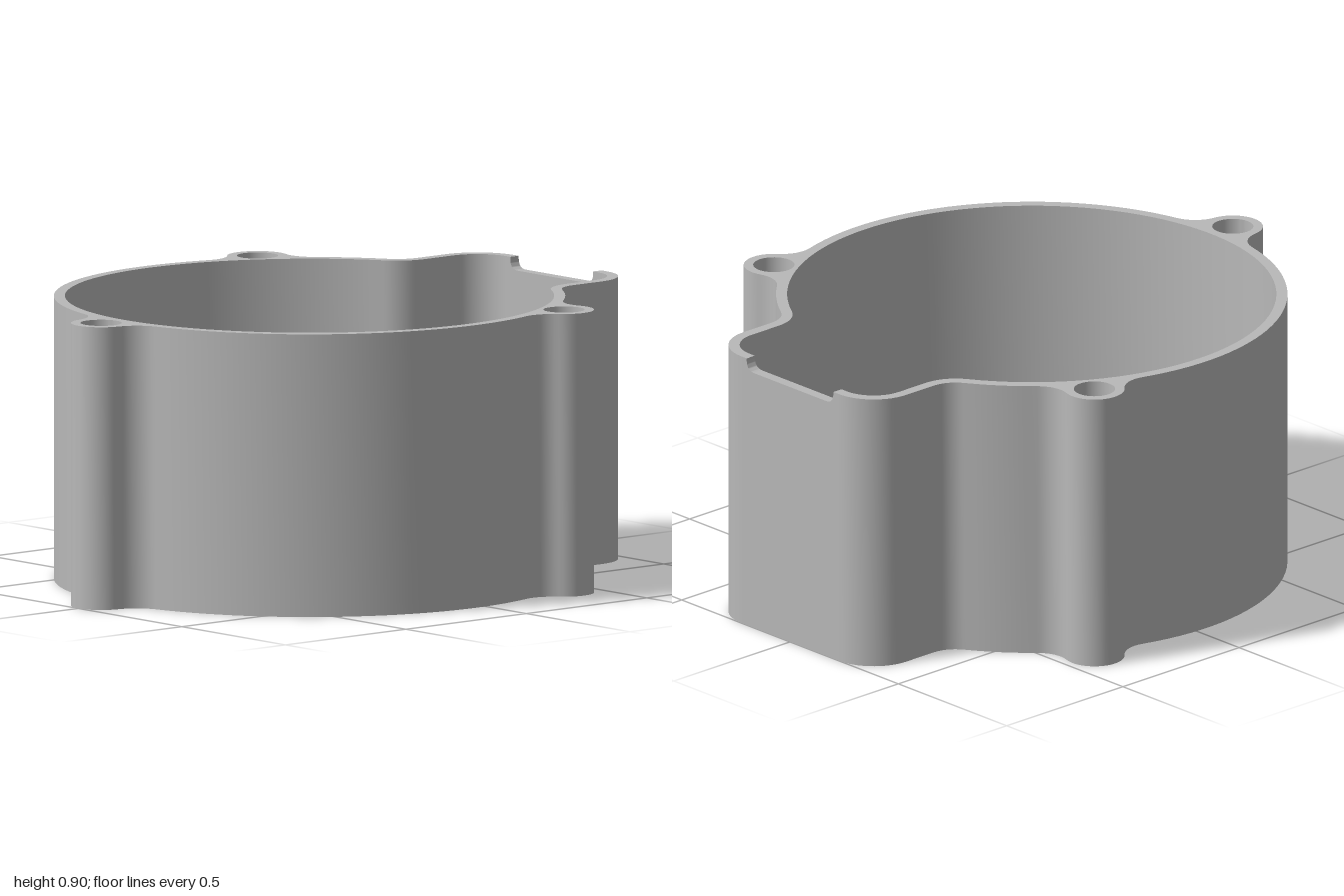
import * as THREE from 'three';
import { toCreasedNormals } from 'three/addons/utils/BufferGeometryUtils.js';

const H = 0.9, WALL = 0.035, CX = -0.04, R = 0.805;
const FILLET = 0.1, LUG_R = 0.095, HOLE_R = 0.065;
const BAY_X = 0.85, BAY_Z = 0.225, CORNER = 0.15, STEP_X = 0.42;
const LUGS = [[0.38, 0.74], [-0.905, 0], [0.38, -0.74]];
const TAU = Math.PI * 2;

// Append an arc; dir 1 is counter-clockwise, -1 clockwise
function arc(pts, cx, cy, r, a0, a1, dir) {
  const sweep = ((((a1 - a0) * dir) % TAU) + TAU) % TAU;
  const n = Math.max(6, Math.ceil(sweep / 0.05 * Math.sqrt(r)));
  for (let i = 0; i <= n; i++) {
    const a = a0 + dir * sweep * i / n;
    const p = new THREE.Vector2(cx + r * Math.cos(a), cy + r * Math.sin(a));
    if (!pts.length || pts[pts.length - 1].distanceTo(p) > 1e-4) pts.push(p);
  }
}

// Plan outline moved inwards by inset, from one side of the bay end round to the other
function outline(inset, lugs) {
  const pts = [], D = R + FILLET, r = R - inset, f = FILLET + inset;
  const fy = BAY_Z + CORNER + FILLET, fa = Math.asin(fy / D);
  const fx = CX + D * Math.cos(fa);
  arc(pts, BAY_X, BAY_Z, CORNER - inset, 0, Math.PI / 2, 1);
  arc(pts, fx, fy, f, -Math.PI / 2, fa + Math.PI, -1);
  let at = fa;
  for (const [lx, ly] of lugs) {
    const t = Math.atan2(ly, lx - CX), d = Math.hypot(lx - CX, ly), q = LUG_R + FILLET;
    const off = Math.acos((D * D + d * d - q * q) / (2 * D * d));
    const [p, s] = [t - off, t + off].map((a) => [CX + D * Math.cos(a), D * Math.sin(a)]);
    const toP = Math.atan2(p[1] - ly, p[0] - lx), toS = Math.atan2(s[1] - ly, s[0] - lx);
    arc(pts, CX, 0, r, at, t - off, 1);
    arc(pts, p[0], p[1], f, t - off + Math.PI, toP + Math.PI, -1);
    arc(pts, lx, ly, LUG_R, toP, toS, 1);
    arc(pts, s[0], s[1], f, toS + Math.PI, t + off + Math.PI, -1);
    at = t + off;
  }
  arc(pts, CX, 0, r, at, -fa, 1);
  arc(pts, fx, -fy, f, Math.PI - fa, Math.PI / 2, -1);
  arc(pts, BAY_X, -BAY_Z, CORNER - inset, -Math.PI / 2, 0, 1);
  return pts;
}

function extrude(shape, depth) {
  const g = new THREE.ExtrudeGeometry(shape, { depth, bevelEnabled: false, curveSegments: 20 });
  return toCreasedNormals(g, 0.5);
}

export function createModel() {
  const group = new THREE.Group();
  const grey = new THREE.MeshStandardMaterial({ color: 0xb8b8b8 });
  grey.name = 'grey';
  const add = (name, geometry) => {
    const mesh = new THREE.Mesh(geometry, grey);
    mesh.name = name;
    group.add(mesh);
    return mesh;
  };
  const upright = (shape, h) => extrude(shape, h).rotateX(-Math.PI / 2);

  // Side wall with three screw lugs, open at the bay end
  const inner = outline(WALL, []);
  const wall = new THREE.Shape([...outline(0, LUGS), ...inner.slice().reverse()]);
  for (const [x, y] of LUGS) {
    wall.holes.push(new THREE.Path().absarc(x, y, HOLE_R, 0, TAU, true));
  }
  add('sideWall', upright(wall, H));

  // Bay end wall with a shallow round-cornered notch in its rim
  const end = new THREE.Shape();
  const nz = 0.2, ny = H - 0.04, nr = 0.035;
  end.moveTo(-BAY_Z, 0);
  end.lineTo(BAY_Z, 0);
  end.lineTo(BAY_Z, H);
  end.lineTo(nz, H);
  end.lineTo(nz, ny + nr);
  end.quadraticCurveTo(nz, ny, nz - nr, ny);
  end.lineTo(-nz + nr, ny);
  end.quadraticCurveTo(-nz, ny, -nz, ny + nr);
  end.lineTo(-nz, H);
  end.lineTo(-BAY_Z, H);
  end.closePath();
  add('bayEndWall', extrude(end, WALL).rotateY(Math.PI / 2).translate(1 - WALL, 0, 0));

  // Raised main floor and lower bay floor, meeting along a straight step
  const cz = Math.sqrt((R - WALL) ** 2 - (STEP_X - CX) ** 2);
  const chord = [new THREE.Vector2(STEP_X, cz), new THREE.Vector2(STEP_X, -cz)];
  const main = inner.filter((p) => p.x < STEP_X - 0.001);
  add('mainFloor', upright(new THREE.Shape([chord[0], ...main, chord[1]]), 0.21));
  const bay = inner.filter((p) => p.x > STEP_X + 0.001);
  const head = bay.filter((p) => p.y > 0), tail = bay.filter((p) => p.y < 0);
  add('bayFloor', upright(new THREE.Shape([...head, ...chord, ...tail]), 0.04));

  // Solid bottoms of the screw holes
  for (const [x, z] of LUGS) {
    add('screwHoleBottom', new THREE.CylinderGeometry(HOLE_R, HOLE_R, 0.4, 40)).position.set(x, 0.2, z);
  }
  return group;
}
